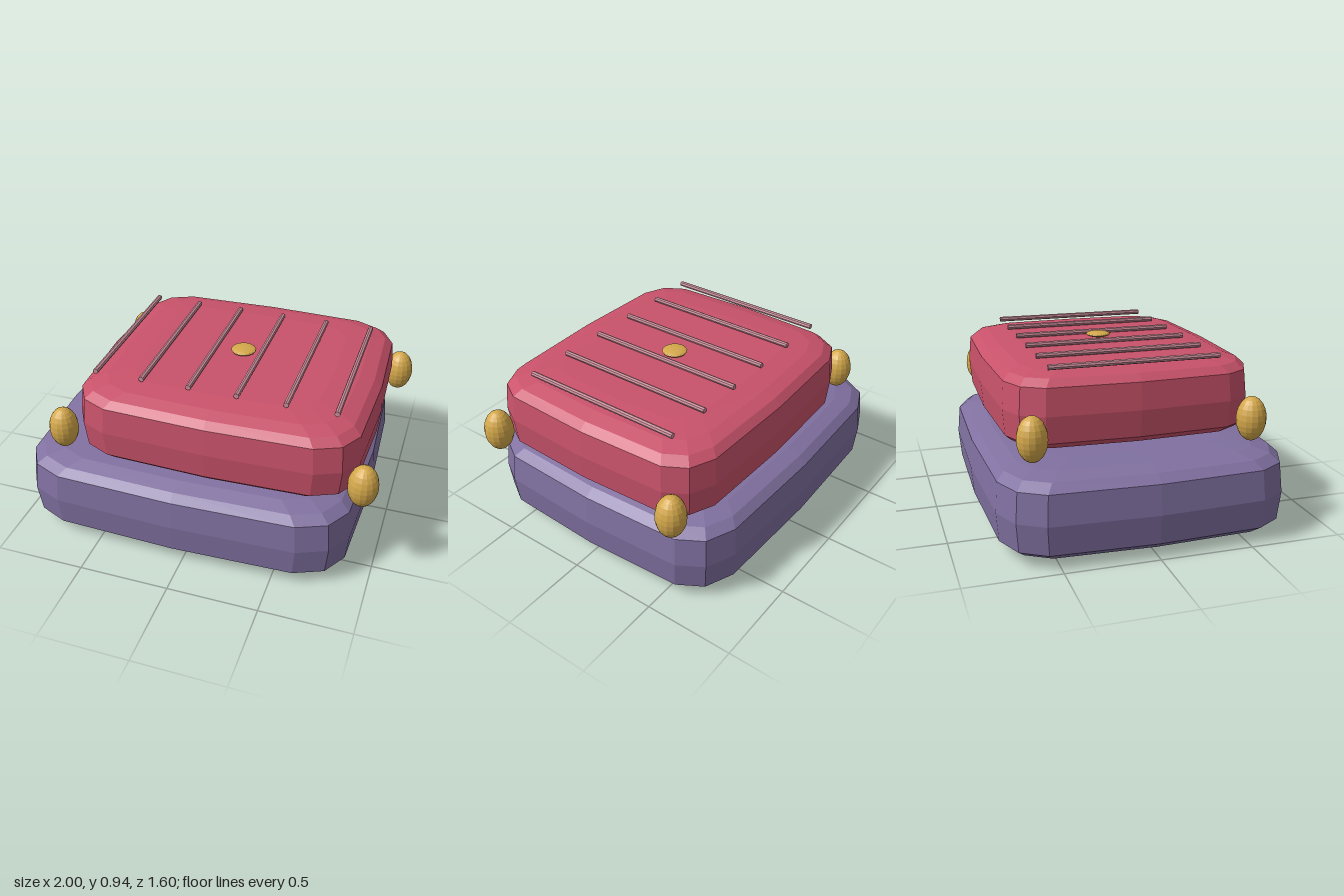
import * as THREE from 'three';

const flat = (name, color) => {
  const m = new THREE.MeshStandardMaterial({ color, flatShading: true });
  m.name = name;
  return m;
};

// Superellipsoid: a sphere whose coordinates are squared off by a power
function cushionGeometry(rx, ry, rz, power = 0.35) {
  const g = new THREE.SphereGeometry(1, 16, 10);
  const p = g.attributes.position;
  const square = (v) => (Math.abs(v) < 1e-6 ? 0 : Math.sign(v) * Math.abs(v) ** power);
  for (let i = 0; i < p.count; i++) {
    p.setXYZ(i, rx * square(p.getX(i)), ry * square(p.getY(i)), rz * square(p.getZ(i)));
  }
  g.computeVertexNormals();
  return g;
}

export function createModel() {
  const model = new THREE.Group();
  model.name = 'stackedCushions';
  const purple = flat('purpleFabric', 0x8070a0);
  const red = flat('redFabric', 0xc8526a);
  const gold = flat('goldTrim', 0xd4a84b);
  const pink = flat('pinkPiping', 0xc88c98);

  const add = (name, geometry, material, x, y, z) => {
    const mesh = new THREE.Mesh(geometry, material);
    mesh.name = name;
    mesh.position.set(x, y, z);
    model.add(mesh);
    return mesh;
  };

  // Two cushions, the upper one offset to the side
  add('lowerCushion', cushionGeometry(0.95, 0.24, 0.8), purple, -0.05, 0.24, 0);
  add('upperCushion', cushionGeometry(0.795, 0.22, 0.7), red, 0.107, 0.69, 0);

  // Tassels at the corners of the upper cushion
  const tassel = new THREE.SphereGeometry(1, 16, 12).scale(0.08, 0.12, 0.08);
  for (const x of [-0.74, 0.915]) {
    for (const z of [-0.587, 0.587]) add('tassel', tassel, gold, x, 0.61, z);
  }

  // Central button
  const button = new THREE.SphereGeometry(1, 16, 10).scale(0.07, 0.017, 0.07);
  add('button', button, gold, 0.107, 0.928, 0);

  // Piping rods running front to back across the top
  const rod = new THREE.CylinderGeometry(0.015, 0.015, 0.93, 8).rotateX(Math.PI / 2);
  for (let i = 0; i < 6; i++) add('pipingRod', rod, pink, -0.58 + i * 0.263, 0.923, 0);

  return model;
}
